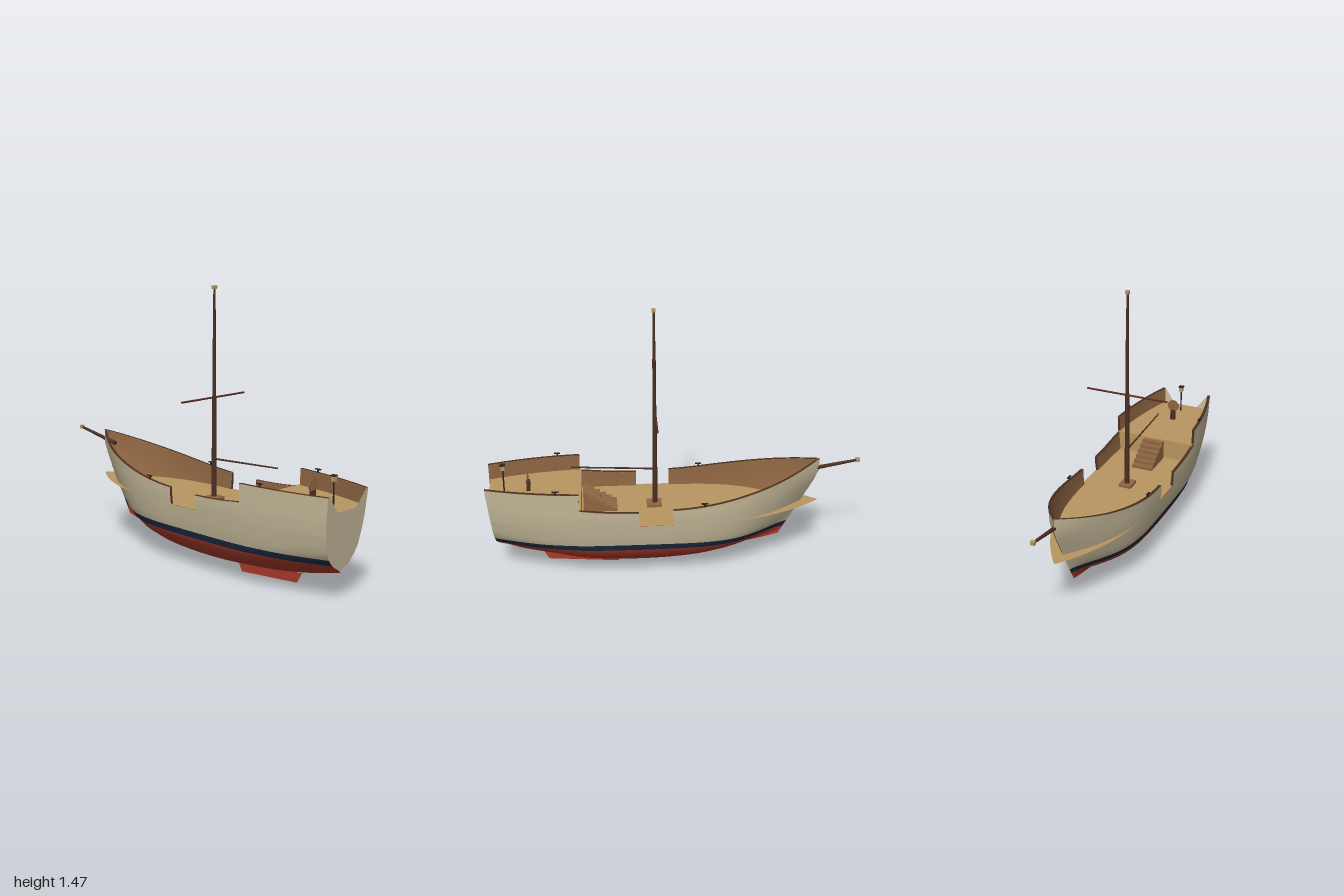
import * as THREE from 'three';

const mat = (name, color) => {
  const m = new THREE.MeshStandardMaterial({ color, side: THREE.DoubleSide });
  m.name = name;
  return m;
};
const clamp = (v) => Math.min(1, Math.max(0, v));
const lerp = THREE.MathUtils.lerp;

// ---- hull shape rules (bow at -z, stern at +z) ----
const DECK = 0.35, QUARTER = 0.46, RIM = 0.545;
const bowW = (z) => clamp(-z / 0.78);
const sternW = (z) => clamp((z - 0.5) / 0.5);

// half width of the hull seen from above
function plan(z) {
  if (z < 0) return 0.24 * Math.max(0, 1 - Math.pow(-z / 0.782, 2.6));
  return 0.24 - 0.09 * Math.pow(clamp((z - 0.35) / 0.65), 2.2);
}

// rake of the stem and the stern
function rakeZ(z, y) {
  const yy = Math.max(y, 0.145);
  return z + 0.56 * Math.max(0, 0.52 - yy) * bowW(z) ** 2
    - 0.1 * Math.max(0, RIM - yy) * sternW(z);
}
const keelY = (z) => 0.043 + 0.1 * ((rakeZ(z, 0) - 0.2) / 0.765) ** 2;

// cross-section fullness from keel (0) to rail (1)
const SECTION = [[0, 0], [0.1, 0.56], [0.2, 0.75], [0.3, 0.86], [0.5, 0.94], [0.7, 0.985], [1, 1]];
function fullness(h) {
  for (let i = 1; i < SECTION.length; i++) {
    const [a, fa] = SECTION[i - 1], [b, fb] = SECTION[i];
    if (h <= b) return lerp(fa, fb, clamp((h - a) / (b - a)));
  }
  return 1;
}
function halfWidth(z, y) {
  const k = keelY(z);
  const p = 1 + 3 * bowW(z) ** 3 + 0.6 * sternW(z);
  return plan(z) * Math.pow(fullness((y - k) / (RIM - k)), p);
}
const hullPoint = (z, y, side, inset = 0) =>
  [side * Math.max(0, halfWidth(z, y) - inset), y, rakeZ(z, y)];

// grid surface; bands = [[rowCount, materialIndex], ...] across j
function grid(nu, nv, fn, bands) {
  const pos = [], idx = [];
  for (let j = 0; j <= nv; j++) for (let i = 0; i <= nu; i++) pos.push(...fn(i, j));
  for (let j = 0; j < nv; j++) for (let i = 0; i < nu; i++) {
    const a = j * (nu + 1) + i, b = a + nu + 1;
    idx.push(a, a + 1, b, a + 1, b + 1, b);
  }
  const g = new THREE.BufferGeometry();
  g.setAttribute('position', new THREE.Float32BufferAttribute(pos, 3));
  g.setIndex(idx);
  let row = 0;
  for (const [n, m] of bands || []) {
    g.addGroup(row * nu * 6, n * nu * 6, m);
    row += n;
  }
  g.computeVertexNormals();
  return g;
}

export function createModel() {
  const root = new THREE.Group();
  const cream = mat('cream paint', 0xc4b898);
  const red = mat('red bottom paint', 0xa83a2c);
  const navy = mat('navy stripe', 0x1b2a42);
  const deckWood = mat('deck wood', 0xb89660);
  const midWood = mat('medium wood', 0x8f6642);
  const darkWood = mat('dark wood', 0x4b3022);
  const yardWood = mat('reddish wood', 0x5a2c22);
  const iron = mat('dark iron', 0x2c241f);

  const add = (name, geo, m, x = 0, y = 0, z = 0) => {
    const mesh = new THREE.Mesh(geo, m);
    mesh.name = name;
    mesh.position.set(x, y, z);
    root.add(mesh);
    return mesh;
  };
  const box = (name, w, h, d, m, x, y, z) => add(name, new THREE.BoxGeometry(w, h, d), m, x, y, z);
  const spar = (name, a, b, r0, r1, m) => {
    const p = new THREE.Vector3(...a), q = new THREE.Vector3(...b), d = q.clone().sub(p);
    const s = add(name, new THREE.CylinderGeometry(r1, r0, d.length(), 10), m);
    s.position.copy(p).add(q).multiplyScalar(0.5);
    s.quaternion.setFromUnitVectors(new THREE.Vector3(0, 1, 0), d.normalize());
  };

  // ---- lower hull: red bottom, navy stripe, cream topsides ----
  const N = 56;
  const rows = [0, 0.17, 0.34, 0.55, 0.78, 1];
  const upper = [0.225, 0.26, 0.3, DECK];
  const stationZ = (i) => 1 - 1.78 * (i / N);
  const rowY = (z, j) => (j < rows.length ? lerp(keelY(z), 0.19, rows[j]) : upper[j - rows.length]);
  for (const s of [1, -1]) {
    const g = grid(N, 9, (i, j) => hullPoint(stationZ(i), rowY(stationZ(i), j), s), [[5, 0], [1, 1], [3, 2]]);
    add(s > 0 ? 'hullLeft' : 'hullRight', g, [red, navy, cream]);
  }

  // ---- bulwarks with an open gangway amidships ----
  const sheer = (z) => 0.44 + 0.16 * Math.pow(clamp((0.02 - z) / 0.8), 1.55);
  const sections = [
    [1, 0.51, 12, () => RIM],
    [0.51, 0.2, 8, (z) => 0.43 + 0.02 * clamp((z - 0.2) / 0.3) ** 2],
    [0.02, -0.78, 28, sheer],
  ];
  const T = 0.014;
  for (const s of [1, -1]) for (const [z0, z1, n, top] of sections) {
    const zi = (i) => lerp(z0, z1, i / n);
    const wall = (y0, inset) => (i, j) => hullPoint(zi(i), lerp(y0, top(zi(i)), j / 4), s, inset);
    add('bulwarkOutside', grid(n, 4, wall(DECK, 0)), cream);
    add('bulwarkInside', grid(n, 4, wall(0.33, T)), midWood);
    add('railCap', grid(n, 1, (i, j) => {
      const p = hullPoint(zi(i), top(zi(i)), s, j * (T + 0.003));
      p[1] += 0.002;
      return p;
    }), darkWood);
    for (const z of [z0, z1])
      add('bulwarkEnd', grid(1, 4, (i, j) => hullPoint(z, lerp(DECK, top(z), j / 4), s, i * T)), z === 1 ? cream : darkWood);
  }

  // ---- transom with a notch above the quarterdeck ----
  const outline = [[0, QUARTER], [0.07, QUARTER], [0.135, RIM]];
  const k = keelY(1);
  for (let i = 0; i <= 14; i++) {
    const y = lerp(RIM, k, 1 - (1 - i / 14) ** 1.6);
    outline.push([halfWidth(1, y), y]);
  }
  const half = outline.slice(1).map(([x, y]) => new THREE.Vector2(x, y));
  const mirrored = half.slice(0, -1).reverse().map((p) => new THREE.Vector2(-p.x, p.y));
  const transom = new THREE.ShapeGeometry(new THREE.Shape([...half, ...mirrored].reverse()));
  const tp = transom.attributes.position;
  for (let i = 0; i < tp.count; i++) tp.setZ(i, rakeZ(1, tp.getY(i)));
  transom.computeVertexNormals();
  add('transom', transom, cream);

  // ---- decks ----
  add('mainDeck', grid(40, 1, (i, j) => {
    const z = lerp(0.5, -0.775, i / 40);
    return [(j ? -1 : 1) * plan(z) * 0.955, DECK, z];
  }), deckWood);
  add('quarterDeck', grid(14, 1, (i, j) => {
    const z = lerp(1, 0.5, i / 14);
    return [(j ? -1 : 1) * (halfWidth(z, QUARTER) - 0.003), QUARTER, rakeZ(z, QUARTER)];
  }), deckWood);
  box('quarterDeckFront', 0.452, QUARTER - DECK, 0.006, deckWood, 0, (QUARTER + DECK) / 2 - 0.001, 0.504);

  // ---- stairs up to the quarterdeck ----
  for (let i = 0; i < 6; i++) {
    const h = (0.105 * (i + 1)) / 6;
    box('stairStep', 0.12, h, 0.03, midWood, 0, DECK + h / 2, 0.325 + i * 0.03);
  }

  // ---- keel fin ----
  const fin = new THREE.ShapeGeometry(new THREE.Shape(
    [[0.72, 0.085], [0.69, 0.028], [0.31, 0], [0.285, 0.05]].map(([z, y]) => new THREE.Vector2(-z, y))));
  fin.rotateY(Math.PI / 2);
  add('keelFin', fin, red);

  // ---- mast, yard and boom ----
  box('mastBase', 0.07, 0.016, 0.08, midWood, 0, DECK + 0.008, 0.11);
  spar('mastLower', [0, DECK, 0.105], [0, 0.9, 0.105], 0.014, 0.011, darkWood);
  spar('mastMiddle', [0, 0.9, 0.105], [0, 1.2, 0.105], 0.010, 0.009, darkWood);
  spar('mastTop', [0, 1.2, 0.105], [0, 1.46, 0.105], 0.008, 0.006, darkWood);
  box('mastCap', 0.02, 0.018, 0.02, deckWood, 0, 1.463, 0.105);
  spar('yard', [-0.23, 0.893, 0.1], [0.23, 0.893, 0.1], 0.005, 0.005, yardWood);
  spar('boom', [0, 0.568, 0.11], [0, 0.59, 0.55], 0.005, 0.004, darkWood);

  // ---- bowsprit ----
  spar('bowsprit', [0, 0.532, -0.69], [0, 0.584, -0.98], 0.012, 0.007, darkWood);
  box('bowspritCap', 0.02, 0.02, 0.02, deckWood, 0, 0.586, -0.987);

  // ---- steering wheel ----
  box('wheelStand', 0.026, 0.06, 0.02, darkWood, 0, QUARTER + 0.03, 0.78);
  const wheel = add('wheel', new THREE.CylinderGeometry(0.034, 0.034, 0.006, 20), midWood, 0, 0.545, 0.783);
  wheel.rotation.x = Math.PI / 2;

  // ---- stern lantern ----
  spar('lanternPole', [0, QUARTER, 0.91], [0, 0.59, 0.91], 0.004, 0.004, iron);
  box('lantern', 0.02, 0.026, 0.02, deckWood, 0, 0.599, 0.91);
  box('lanternCap', 0.027, 0.006, 0.027, iron, 0, 0.615, 0.91);

  // ---- rail cleats ----
  for (const s of [1, -1]) for (const [z, y] of [[0.63, RIM], [-0.145, sheer(-0.145)]]) {
    const x = s * (halfWidth(z, y) - T / 2);
    box('cleatPost', 0.007, 0.018, 0.008, iron, x, y + 0.008, z);
    box('cleatBar', 0.009, 0.006, 0.034, iron, x, y + 0.018, z);
  }
  return root;
}
